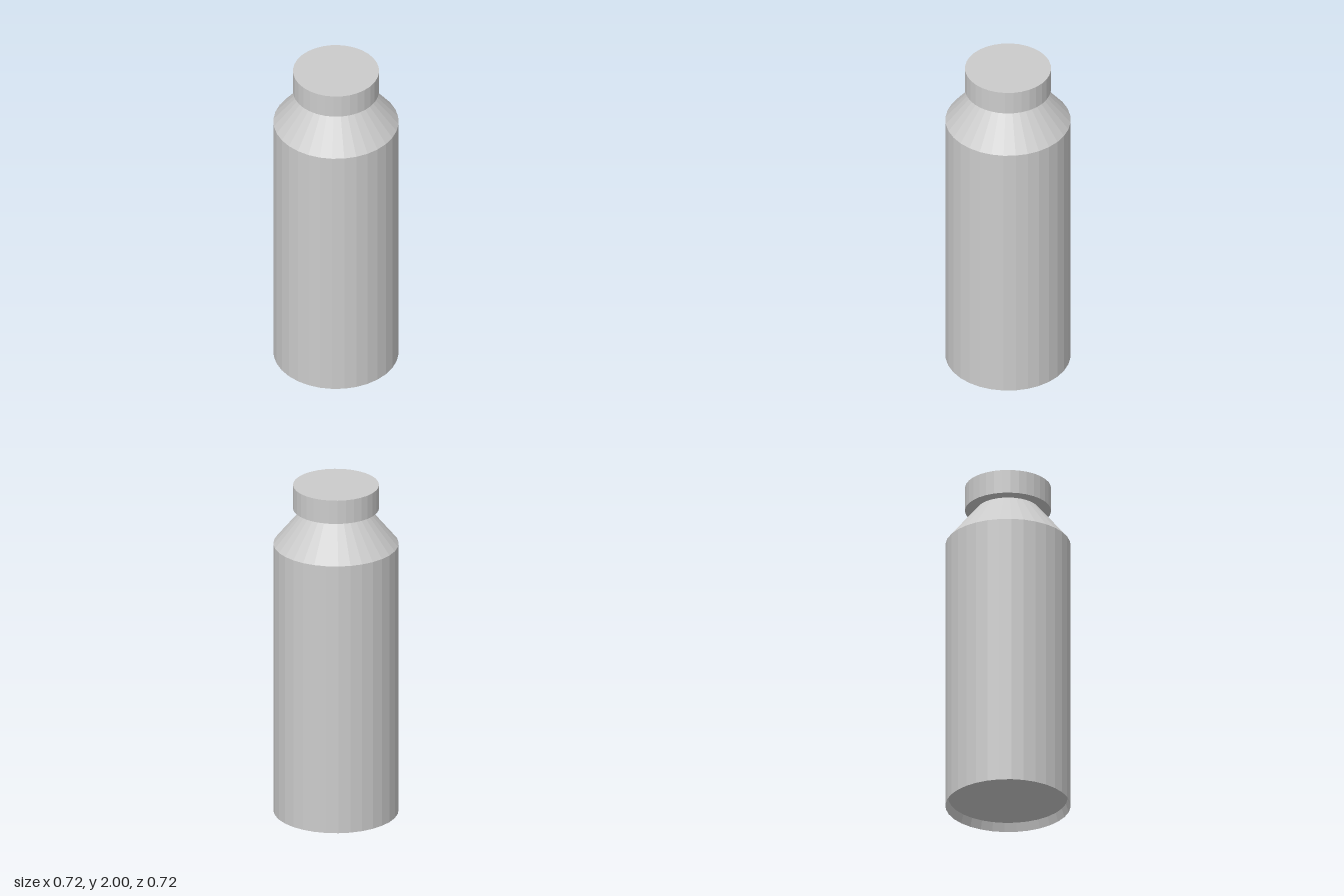
import * as THREE from 'three';

const SIDES = 32;

export function createModel() {
  const bottle = new THREE.Group();
  bottle.name = 'bottle';
  const material = new THREE.MeshStandardMaterial({ color: 0xcccccc, flatShading: true });

  // Turns a [radius, height] profile, listed from the bottom up, into a faceted part
  function turned(name, profile) {
    const points = profile.map(([r, y]) => new THREE.Vector2(r, y));
    const mesh = new THREE.Mesh(new THREE.LatheGeometry(points, SIDES), material);
    mesh.name = name;
    bottle.add(mesh);
  }

  // Recessed base, straight wall and sloping shoulder up to the neck
  turned('body', [[0, 0.05], [0.341, 0.05], [0.358, 0], [0.358, 1.64], [0.18, 1.857]]);

  // Flat overhanging lid
  turned('cap', [[0, 1.857], [0.246, 1.857], [0.246, 2], [0, 2]]);

  return bottle;
}
